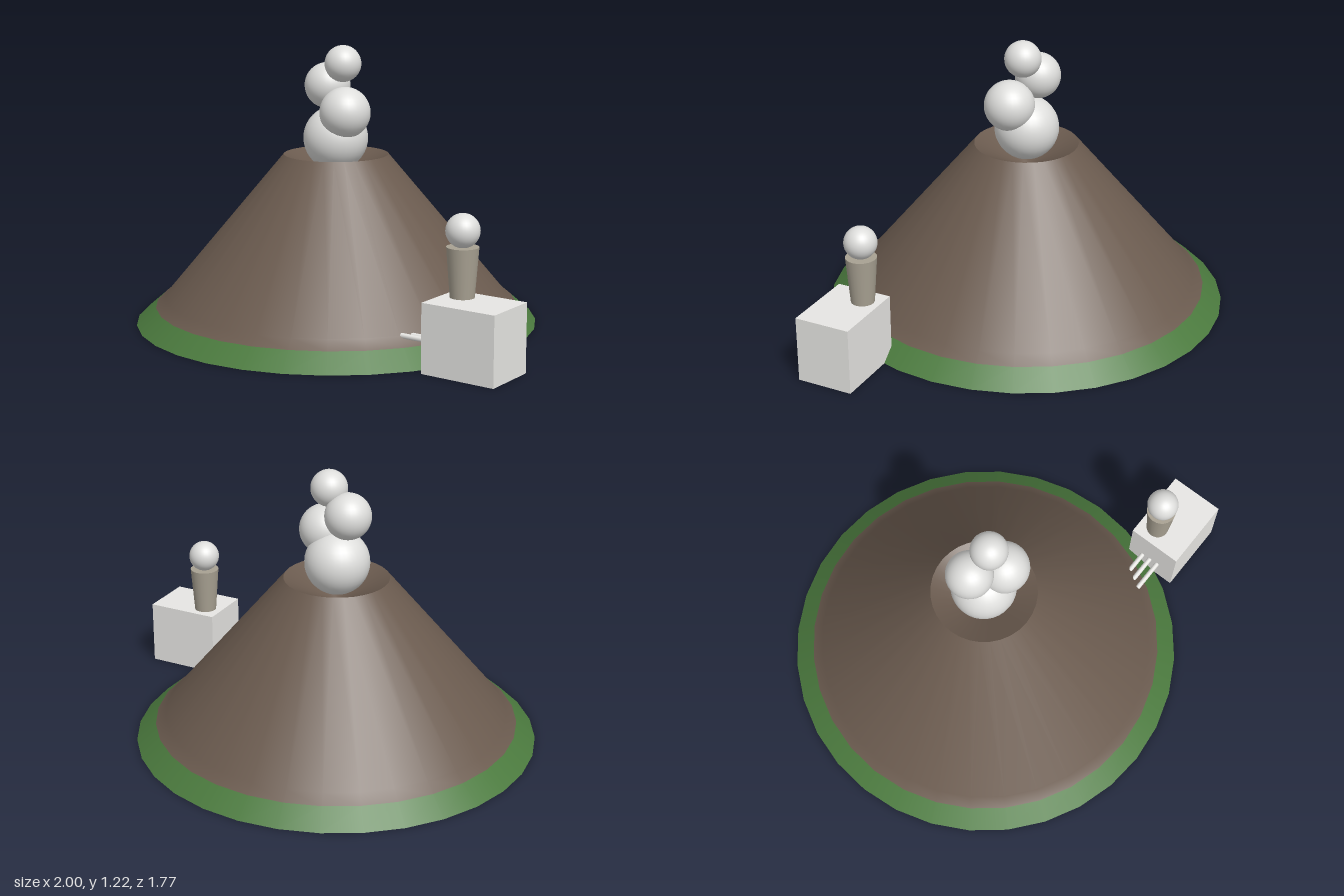
import * as THREE from 'three';

const mat = (name, color) => {
  const m = new THREE.MeshStandardMaterial({ color });
  m.name = name;
  return m;
};

export function createModel() {
  const rock = mat('brown rock', 0x6b5b4f);
  const grass = mat('green grass', 0x4b7a3e);
  const smokeGrey = mat('smoke grey', 0xdededc);
  const pale = mat('pale grey', 0xe8e7e4);
  const cloth = mat('warm grey', 0xa8a192);

  const model = new THREE.Group();
  const add = (parent, name, geometry, material, x = 0, y = 0, z = 0) => {
    const mesh = new THREE.Mesh(geometry, material);
    mesh.name = name;
    mesh.position.set(x, y, z);
    parent.add(mesh);
    return mesh;
  };
  const lathe = (points) =>
    new THREE.LatheGeometry(points.map(([r, y]) => new THREE.Vector2(r, y)), 32);

  // Mountain: grassy foot, rocky slope and hollow crater
  const volcano = new THREE.Group();
  volcano.name = 'volcano';
  volcano.position.x = -0.115;
  model.add(volcano);
  add(volcano, 'grassFoot', new THREE.CylinderGeometry(0.798, 0.885, 0.075, 32), grass, 0, 0.0375, 0);
  add(volcano, 'slope', lathe([[0.8, 0.074], [0.755, 0.112], [0.23, 0.74]]), rock);
  add(volcano, 'crater', lathe([[0.23, 0.74], [0, 0.62]]), rock);

  // Smoke puffs: x, y, z, radius
  const smoke = new THREE.Group();
  smoke.name = 'smoke';
  model.add(smoke);
  [
    [-0.117, 0.81, 0, 0.142],
    [-0.035, 0.932, 0.043, 0.111],
    [-0.178, 1.035, -0.023, 0.101],
    [-0.077, 1.138, 0, 0.08],
  ].forEach(([x, y, z, r]) =>
    add(smoke, 'smokePuff', new THREE.SphereGeometry(r, 32, 20), smokeGrey, x, y, z));

  // Figure standing on a block
  add(model, 'block', new THREE.BoxGeometry(0.333, 0.29, 0.248), pale, 0.8335, 0.145, 0.374);
  const figure = new THREE.Group();
  figure.name = 'figure';
  figure.position.set(0.75, 0, 0.33);
  model.add(figure);
  add(figure, 'body', new THREE.CylinderGeometry(0.066, 0.05, 0.207, 24), cloth, 0, 0.3915, 0);
  add(figure, 'head', new THREE.SphereGeometry(0.07, 32, 20), smokeGrey, 0, 0.56, 0);

  // Three thin prongs reaching from the block to the slope
  [[0.555, 0.325], [0.535, 0.366], [0.513, 0.408]].forEach(([tip, z], i) => {
    const length = 0.69 - tip;
    const y = 0.101 + i * 0.005;
    const prong = add(model, 'prong', new THREE.CylinderGeometry(0.011, 0.011, length, 10), pale, tip + length / 2, y, z);
    prong.rotation.z = Math.PI / 2;
  });

  return model;
}
